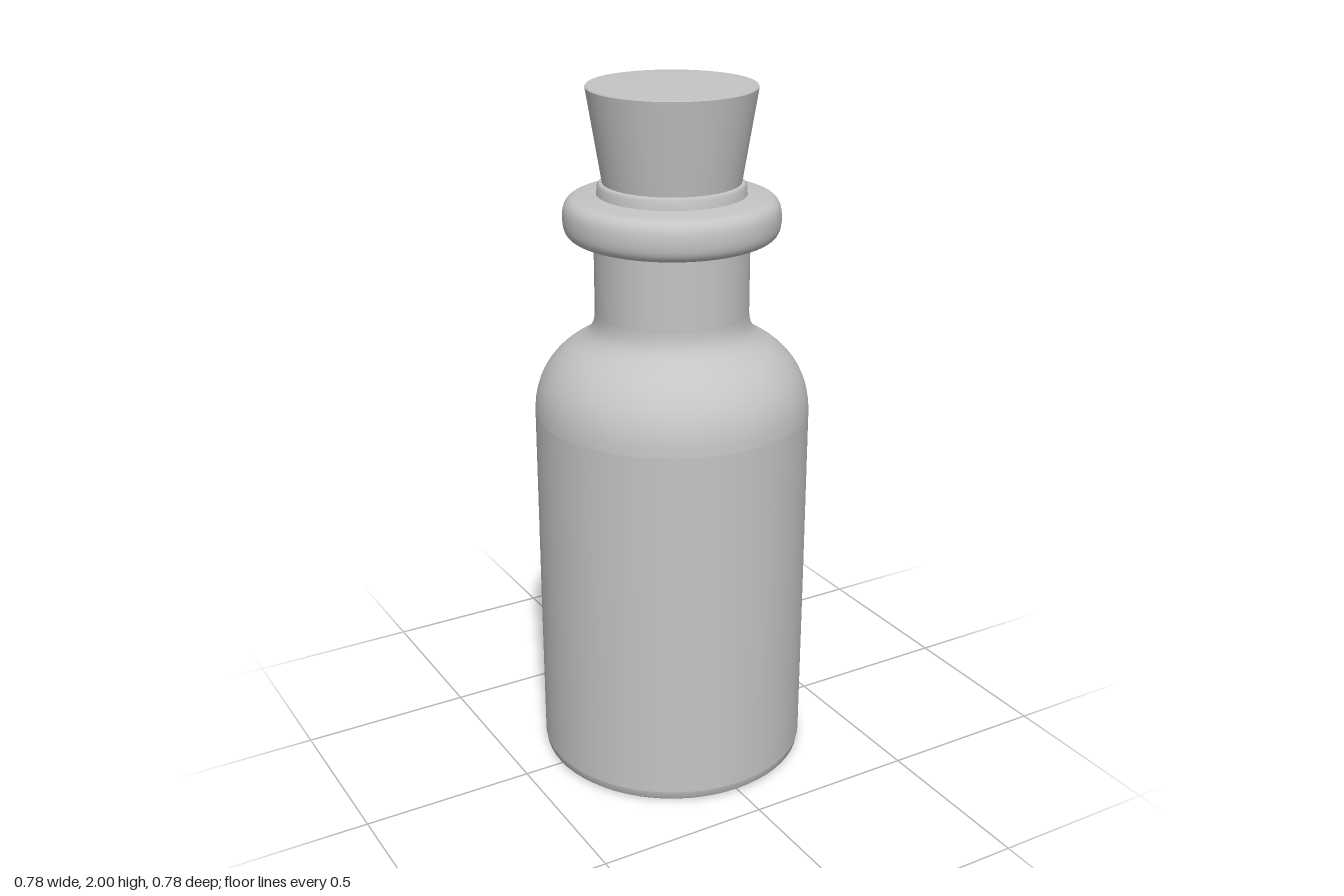
import * as THREE from 'three';

const SEGMENTS = 64;

export function createModel() {
  const model = new THREE.Group();
  model.name = 'corkedBottle';
  const grey = new THREE.MeshStandardMaterial({ color: 0xc4c4c4 });
  grey.name = 'plain grey';

  // Each smooth band is its own lathe, so the edges between bands stay sharp
  const band = (parent, name, points) => {
    const profile = points.map((p) => (p.isVector2 ? p : new THREE.Vector2(...p)));
    const mesh = new THREE.Mesh(new THREE.LatheGeometry(profile, SEGMENTS), grey);
    mesh.name = name;
    parent.add(mesh);
  };
  const part = (name) => {
    const group = new THREE.Group();
    group.name = name;
    model.add(group);
    return group;
  };

  // Body: flat base, small rounded foot, straight wall, domed shoulder
  const bottle = part('bottle');
  band(bottle, 'base', [[0, 0], [0.378, 0]]);
  band(bottle, 'foot', [[0.378, 0], [0.387, 0.008], [0.391, 0.03]]);
  band(bottle, 'wall', [[0.391, 0.03], [0.392, 0.5], [0.392, 1.08]]);
  const shoulder = new THREE.Path();
  shoulder.moveTo(0.392, 1.08);
  shoulder.bezierCurveTo(0.39, 1.19, 0.33, 1.25, 0.272, 1.283);
  shoulder.bezierCurveTo(0.235, 1.305, 0.218, 1.325, 0.217, 1.37);
  band(bottle, 'shoulder', shoulder.getPoints(10));
  band(bottle, 'neck', [[0.217, 1.37], [0.217, 1.59]]);

  // Rounded collar around the mouth
  const lip = new THREE.Path();
  lip.moveTo(0.21, 1.582);
  lip.lineTo(0.265, 1.584);
  lip.bezierCurveTo(0.292, 1.588, 0.302, 1.605, 0.302, 1.64);
  lip.bezierCurveTo(0.302, 1.68, 0.29, 1.694, 0.262, 1.7);
  lip.lineTo(0.208, 1.706);
  band(bottle, 'collar', lip.getPoints(8));
  band(bottle, 'mouthRim', [[0.208, 1.7], [0.205, 1.73], [0.198, 1.738], [0.175, 1.738]]);

  // Tapered stopper
  const stopper = part('stopper');
  band(stopper, 'stopperSide', [[0.184, 1.69], [0.234, 1.995]]);
  band(stopper, 'stopperTop', [[0.234, 1.995], [0.231, 2], [0, 2]]);

  return model;
}
